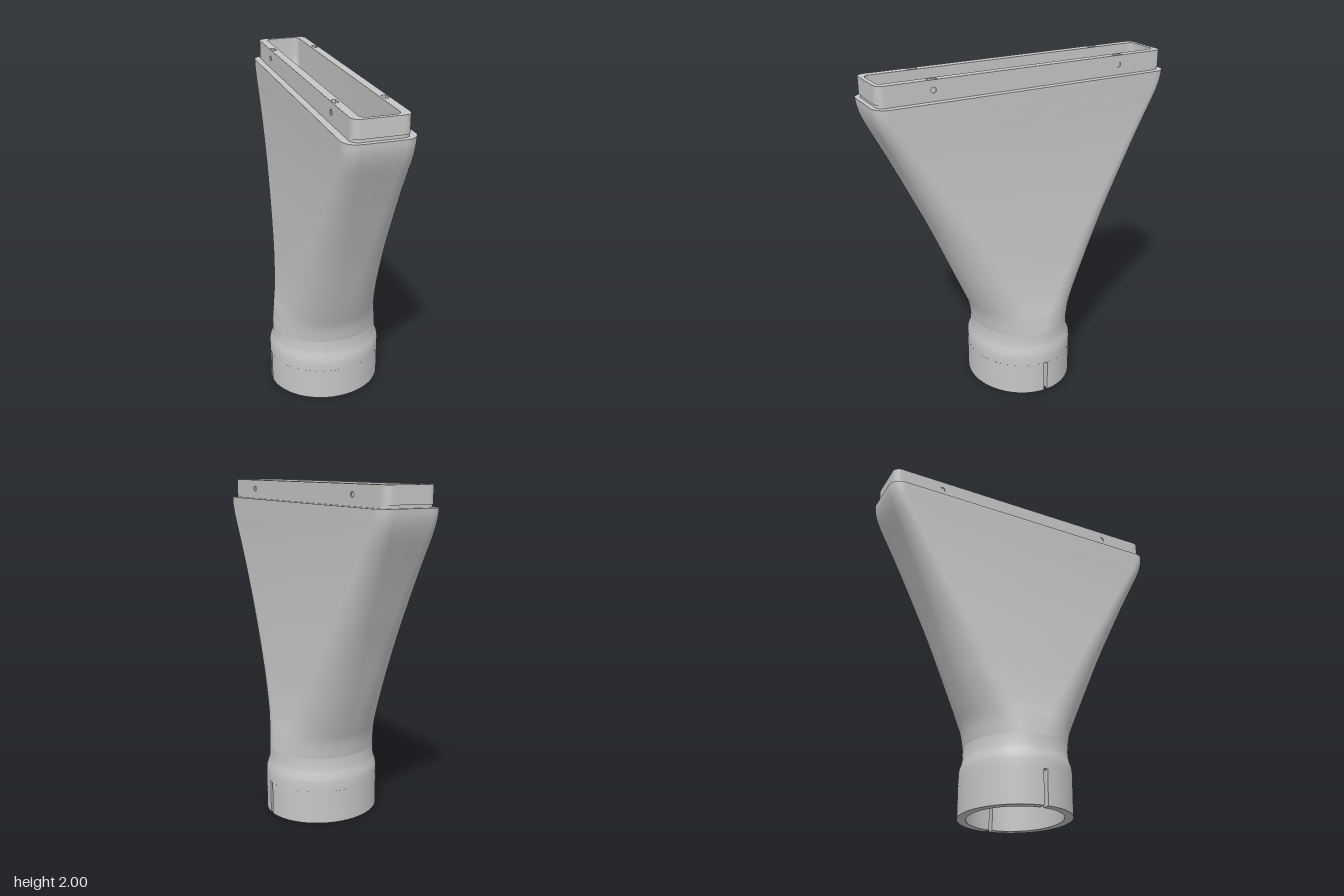
import * as THREE from 'three';
import { toCreasedNormals } from 'three/addons/utils/BufferGeometryUtils.js';

// Rounded rectangles: straight half lengths plus corner radius
const LIP = { a: 0.837, b: 0.113, r: 0.08 };
const RIM = { a: 0.852, b: 0.108, r: 0.045 };
const NECK = { a: 0.845, b: 0.108, r: 0.045 };
const BORE = { a: 0.837, b: 0.07, r: 0.035 };
const SHOULDER = 1.885, RIM_BASE = 1.902, TOP = 2;
const SKIN = 0.006, SKIN_HALF = 0.82;             // thin outer side plates of the rim
const HOLE_X = 0.585;
const COLLAR_X = 0.319, COLLAR_Z = 0.351, WALL = 0.05;

// Rounded rectangle path; a positive notch cuts the long sides back by that depth
function roundRect(path, { a, b, r }, notch = 0) {
  const W = b + r, s = SKIN_HALF;
  path.moveTo(a + r, -b);
  path.lineTo(a + r, b);
  path.absarc(a, b, r, 0, Math.PI / 2);
  if (notch) [[s, W], [s, W - notch], [-s, W - notch], [-s, W]].forEach(p => path.lineTo(...p));
  path.absarc(-a, b, r, Math.PI / 2, Math.PI);
  path.absarc(-a, -b, r, Math.PI, Math.PI * 1.5);
  if (notch) [[-s, -W], [-s, notch - W], [s, notch - W], [s, -W]].forEach(p => path.lineTo(...p));
  path.absarc(a, -b, r, Math.PI * 1.5, Math.PI * 2);
  return path;
}

function extrudeUp(shape, y0, y1, curveSegments = 10) {
  const g = new THREE.ExtrudeGeometry(shape, { depth: y1 - y0, bevelEnabled: false, curveSegments });
  g.rotateX(-Math.PI / 2).translate(0, y0, 0);
  return toCreasedNormals(g, 0.6);
}

// Skin over sections [y, a, b, rx, rz]: straight half lengths and elliptical corners
function loft(sections, inward) {
  const n = 16, pos = [], idx = [], count = 4 * (n + 1);
  for (const [y, a, b, rx, rz] of sections) {
    for (let q = 0; q < 4; q++) {
      const sx = q === 0 || q === 3 ? 1 : -1, sz = q < 2 ? 1 : -1;
      for (let i = 0; i <= n; i++) {
        const u = (q + i / n) * Math.PI / 2;
        pos.push(sx * a + rx * Math.cos(u), y, sz * b + rz * Math.sin(u));
      }
    }
  }
  for (let k = 0; k < sections.length - 1; k++) {
    for (let i = 0; i < count; i++) {
      const p = k * count + i, q = k * count + (i + 1) % count, pu = p + count, qu = q + count;
      if (inward) idx.push(p, q, pu, q, qu, pu);
      else idx.push(p, pu, q, q, pu, qu);
    }
  }
  const g = new THREE.BufferGeometry();
  g.setAttribute('position', new THREE.Float32BufferAttribute(pos, 3));
  g.setIndex(idx);
  return toCreasedNormals(g, 0.6);
}

// Spline through every column of a section table
function smoothSections(table, steps) {
  const columns = table[0].map((_, c) => new THREE.SplineCurve(table.map(row => new THREE.Vector2(0, row[c]))));
  return Array.from({ length: steps + 1 }, (_, i) => columns.map(col => col.getPoint(i / steps).y));
}

export function createModel() {
  const model = new THREE.Group();
  model.name = 'flatNozzle';
  const nozzle = new THREE.Group();
  nozzle.name = 'nozzle';
  nozzle.rotation.y = -Math.PI / 4;
  model.add(nozzle);

  const grey = new THREE.MeshStandardMaterial({ color: 0xc6c6c6 });
  grey.name = 'plasticGrey';
  const add = (name, geometry) => {
    const mesh = new THREE.Mesh(geometry, grey);
    mesh.name = name;
    nozzle.add(mesh);
  };

  // Oval collar: two halves with a slit between, closed ring above
  const gap = 0.037;
  for (const side of [0, 1]) {
    const from = -Math.PI / 2 + side * Math.PI + gap, to = Math.PI / 2 + side * Math.PI - gap;
    const half = new THREE.Shape();
    half.absellipse(0, 0, COLLAR_X, COLLAR_Z, from, to, false);
    half.absellipse(0, 0, COLLAR_X - WALL, COLLAR_Z - WALL, to, from, true);
    add(side ? 'collarHalfRight' : 'collarHalfLeft', extrudeUp(half, 0, 0.2, 40));
  }
  // Offsets from the collar surface and heights, from inner top round to outer top
  const profile = [
    [-0.066, 0.4], [-0.066, 0.26], [-WALL, 0.25], [-WALL, 0.2], [0, 0.2], [0, 0.255],
    [-0.003, 0.275], [-0.014, 0.31], [-0.02, 0.335], [-0.021, 0.4],
  ];
  add('collarRing', loft(profile.map(([d, y]) => [y, 0, 0, COLLAR_X + d, COLLAR_Z + d]), false));

  // Flaring body, outside and inside
  const body = smoothSections([
    [0.4, 0, 0, 0.298, 0.33],
    [0.5, 0.037, 0.005, 0.28, 0.307],
    [0.6, 0.097, 0.015, 0.26, 0.272],
    [0.75, 0.19, 0.028, 0.23, 0.234],
    [0.87, 0.259, 0.037, 0.211, 0.211],
    [1.06, 0.373, 0.053, 0.177, 0.177],
    [1.26, 0.499, 0.07, 0.143, 0.143],
    [1.45, 0.615, 0.086, 0.116, 0.116],
    [1.6, 0.706, 0.097, 0.099, 0.099],
    [1.75, 0.795, 0.108, 0.085, 0.085],
    [1.83, 0.828, 0.112, 0.081, 0.081],
    [SHOULDER, LIP.a, LIP.b, LIP.r, LIP.r],
  ], 55);
  const thin = LIP.r - BORE.r;
  add('bodyOuter', loft(body, false));
  add('bodyInner', loft(body.map(([y, a, b, rx, rz]) => [y, a, b * BORE.b / LIP.b, rx - thin, rz - thin]), true));

  // Flat shoulder around the rim
  const lip = roundRect(new THREE.Shape(), LIP);
  lip.holes.push(roundRect(new THREE.Path(), BORE));
  add('shoulder', new THREE.ShapeGeometry(lip, 14).rotateX(-Math.PI / 2).translate(0, SHOULDER, 0));

  // Groove under the ends of the rim
  const neck = roundRect(new THREE.Shape(), NECK, SKIN);
  neck.holes.push(roundRect(new THREE.Path(), BORE));
  add('rimGroove', extrudeUp(neck, SHOULDER, RIM_BASE));

  // Rim with four nut pockets
  const rim = roundRect(new THREE.Shape(), RIM, SKIN);
  rim.holes.push(roundRect(new THREE.Path(), BORE));
  for (const x of [-HOLE_X, HOLE_X]) {
    for (const z of [-0.132, 0.132]) {
      const w = 0.027, d = 0.013;
      rim.holes.push(new THREE.Path([[-w, -d], [w, -d], [w, d], [-w, d]]
        .map(([u, v]) => new THREE.Vector2(x + u, z + v))));
    }
  }
  add('rim', extrudeUp(rim, RIM_BASE, TOP));

  // Rim side plates with round screw holes
  const plate = new THREE.Shape([[-SKIN_HALF, SHOULDER], [SKIN_HALF, SHOULDER], [SKIN_HALF, TOP], [-SKIN_HALF, TOP]]
    .map(p => new THREE.Vector2(...p)));
  for (const x of [-HOLE_X, HOLE_X]) {
    plate.holes.push(new THREE.Path().absarc(x, 1.945, 0.016, 0, Math.PI * 2, true));
  }
  const W = RIM.b + RIM.r;
  for (const [name, z] of [['rimPlateFront', W - SKIN], ['rimPlateBack', -W]]) {
    const g = new THREE.ExtrudeGeometry(plate, { depth: SKIN, bevelEnabled: false, curveSegments: 10 });
    add(name, toCreasedNormals(g.translate(0, 0, z), 0.7));
  }
  return model;
}
